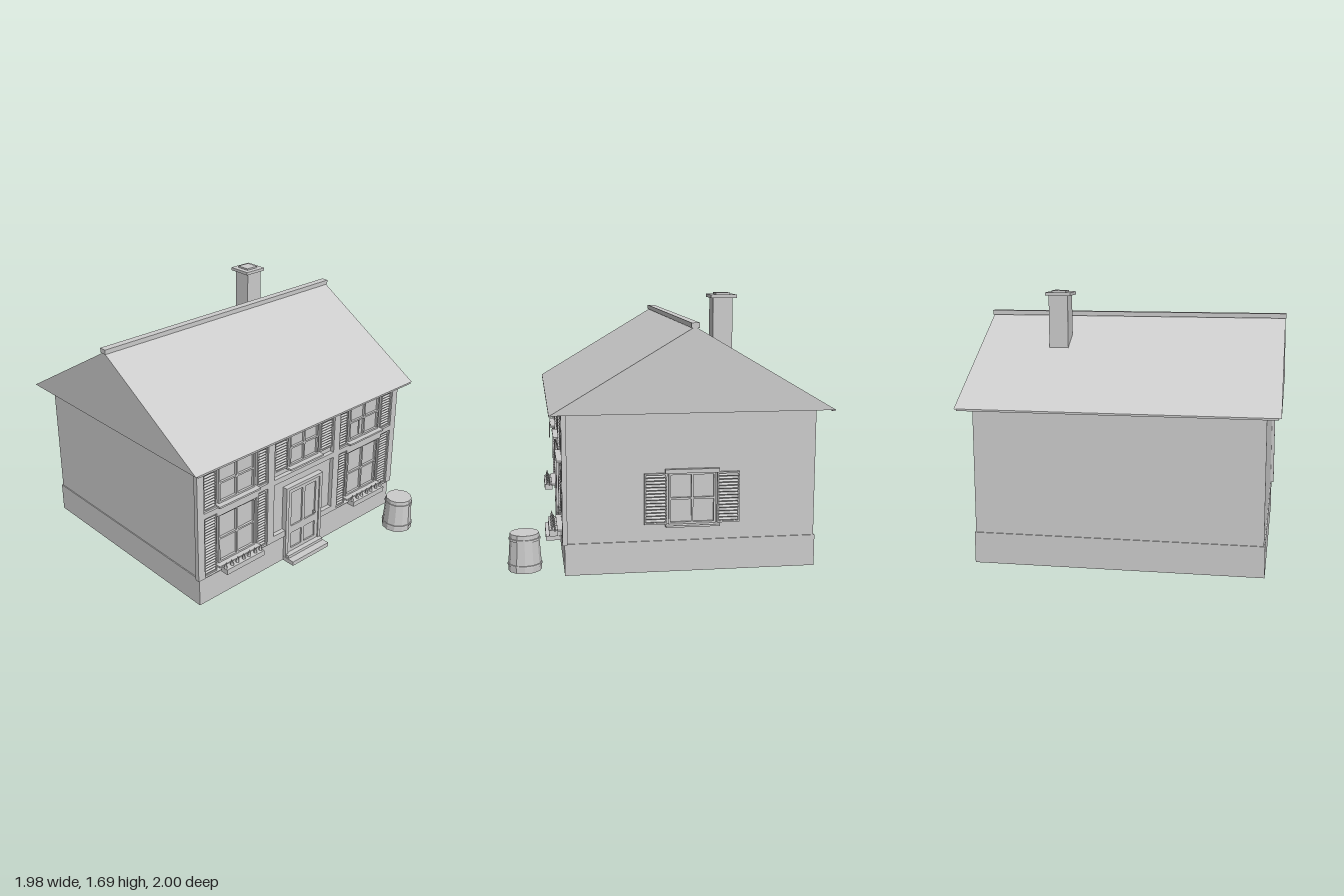
import * as THREE from 'three';

const plaster = new THREE.MeshStandardMaterial({ color: 0xcccccc, flatShading: true });
plaster.name = 'plain grey';

function add(parent, name, geometry) {
  const mesh = new THREE.Mesh(geometry, plaster);
  mesh.name = name;
  parent.add(mesh);
  return mesh;
}

// Box given by its limits on each axis
function block(parent, name, x0, x1, y0, y1, z0, z1) {
  const mesh = add(parent, name, new THREE.BoxGeometry(x1 - x0, y1 - y0, z1 - z0));
  mesh.position.set((x0 + x1) / 2, (y0 + y1) / 2, (z0 + z1) / 2);
  return mesh;
}

function rectangle(Type, x0, x1, y0, y1) {
  const p = new Type();
  p.moveTo(x0, y0);
  p.lineTo(x1, y0);
  p.lineTo(x1, y1);
  p.lineTo(x0, y1);
  p.closePath();
  return p;
}

// Rectangular plate with rectangular openings, standing on z0
function pierced(parent, name, outer, holes, z0, z1) {
  const shape = rectangle(THREE.Shape, ...outer);
  for (const h of holes) shape.holes.push(rectangle(THREE.Path, ...h));
  const mesh = add(parent, name, new THREE.ExtrudeGeometry(shape, { depth: z1 - z0, bevelEnabled: false }));
  mesh.position.z = z0;
  return mesh;
}

// Louvred shutter standing on the plane z = 0
function shutter(parent, x0, x1, y0, y1) {
  const g = new THREE.Group();
  g.name = 'shutter';
  parent.add(g);
  const e = 0.01;
  pierced(g, 'shutterFrame', [x0, x1, y0, y1], [[x0 + e, x1 - e, y0 + e, y1 - e]], 0, 0.02);
  const count = Math.round((y1 - y0 - 2 * e) / 0.02);
  const pitch = (y1 - y0 - 2 * e) / count;
  for (let i = 0; i < count; i++) {
    const y = y0 + e + (i + 0.5) * pitch;
    const slat = block(g, 'slat', x0 + e / 2, x1 - e / 2, y - 0.003, y + 0.003, 0.002, 0.022);
    slat.rotation.x = 0.5;
  }
}

// Four-pane window standing on the plane z = 0, with lintel and sill
function windowUnit(parent, half, y0, y1, sillY, lintelTop) {
  const g = new THREE.Group();
  g.name = 'window';
  parent.add(g);
  const midY = (y0 + y1) / 2, b = 0.006, e = 0.012;
  const panes = [];
  for (const [a, c] of [[-half + e, -b], [b, half - e]]) {
    panes.push([a, c, y0 + e, midY - b], [a, c, midY + b, y1 - e]);
  }
  pierced(g, 'sash', [-half, half, y0, y1], panes, 0, 0.02);
  block(g, 'glass', -half, half, y0, y1, 0, 0.004);
  block(g, 'lintel', -half - 0.022, half + 0.022, y1, lintelTop, 0, 0.03);
  block(g, 'sill', -half - 0.022, half + 0.022, sillY, sillY + 0.012, 0, 0.055);
  return g;
}

function flowerBox(parent) {
  const g = new THREE.Group();
  g.name = 'flowerBox';
  parent.add(g);
  block(g, 'planter', -0.16, 0.16, 0.205, 0.242, 0.05, 0.105);
  for (let i = 0; i < 7; i++) {
    const x = -0.15 + i * 0.05;
    const bud = add(g, 'plant', new THREE.ConeGeometry(0.014, 0.045, 5));
    bud.position.set(x, 0.264, 0.08);
    bud.rotation.z = i % 2 ? 0.15 : -0.15;
    const leaf = add(g, 'leaf', new THREE.ConeGeometry(0.009, 0.03, 4));
    leaf.position.set(x + 0.015, 0.253, 0.07);
    leaf.rotation.z = -0.6;
  }
}

export function createModel() {
  const house = new THREE.Group();
  house.name = 'house';

  // Walls and plinth
  block(house, 'plinth', -0.907, 0.907, 0, 0.197, -0.91, 0.647);
  block(house, 'walls', -0.9, 0.9, 0.19, 1.0, -0.903, 0.63);

  // Front facing with recessed bays
  pierced(house, 'frontFacing', [-0.923, 0.923, 0.195, 1.0], [
    [-0.87, -0.335, 0.2, 0.63], [-0.87, -0.335, 0.668, 0.992],
    [0.335, 0.87, 0.2, 0.63], [0.335, 0.87, 0.668, 0.992],
    [-0.278, 0.278, 0.24, 0.63], [-0.278, 0.278, 0.668, 0.992],
  ], 0.63, 0.66);

  // Roof, eaves and ridge
  const gable = new THREE.Shape();
  gable.moveTo(-0.73, 0.998);
  gable.lineTo(1.0, 0.998);
  gable.lineTo(0.13, 1.51);
  gable.closePath();
  const roof = add(house, 'roof', new THREE.ExtrudeGeometry(gable, { depth: 1.97, bevelEnabled: false }));
  roof.rotation.y = Math.PI / 2;
  roof.position.x = -0.985;
  block(house, 'frontEave', -0.97, 0.97, 0.988, 1.0, 0.715, 0.732);
  block(house, 'backEave', -0.97, 0.97, 0.988, 1.0, -1.0, -0.983);
  block(house, 'ridge', -0.99, 0.99, 1.503, 1.533, -0.157, -0.107);

  // Chimney
  const chimney = new THREE.Group();
  chimney.name = 'chimney';
  house.add(chimney);
  block(chimney, 'stack', 0.397, 0.522, 1.25, 1.655, -0.453, -0.327);
  block(chimney, 'cap', 0.375, 0.54, 1.655, 1.675, -0.475, -0.31);
  block(chimney, 'flue', 0.412, 0.505, 1.675, 1.686, -0.44, -0.347);

  // Front windows in the side bays, mirrored
  for (const side of [-1, 1]) {
    const bay = new THREE.Group();
    bay.name = side < 0 ? 'rightBay' : 'leftBay';
    bay.position.set(side * 0.593, 0, 0.63);
    house.add(bay);
    windowUnit(bay, 0.155, 0.25, 0.605, 0.237, 0.63);
    windowUnit(bay, 0.15, 0.685, 0.965, 0.672, 0.985);
    for (const [y0, y1] of [[0.203, 0.627], [0.672, 0.988]]) {
      const outer = [side * 0.172, side * 0.275].sort((a, b) => a - b);
      const inner = [-side * 0.172, -side * 0.256].sort((a, b) => a - b);
      shutter(bay, ...outer, y0, y1);
      shutter(bay, ...inner, y0, y1);
    }
    flowerBox(bay);
  }

  // Upper middle window
  const middle = new THREE.Group();
  middle.name = 'middleBay';
  middle.position.z = 0.63;
  house.add(middle);
  windowUnit(middle, 0.133, 0.711, 0.975, 0.699, 0.988);
  shutter(middle, -0.272, -0.153, 0.712, 0.985);
  shutter(middle, 0.153, 0.272, 0.712, 0.985);

  // Window on the left wall
  const sideWindow = new THREE.Group();
  sideWindow.name = 'sideWindow';
  sideWindow.position.set(0.895, 0, -0.132);
  sideWindow.rotation.y = Math.PI / 2;
  house.add(sideWindow);
  windowUnit(sideWindow, 0.145, 0.302, 0.62, 0.29, 0.645);
  shutter(sideWindow, -0.295, -0.155, 0.302, 0.62);
  shutter(sideWindow, 0.155, 0.295, 0.302, 0.62);

  // Door with frame, panels, knob and steps
  const door = new THREE.Group();
  door.name = 'door';
  house.add(door);
  pierced(door, 'doorFrame', [-0.17, 0.17, 0.03, 0.562], [[-0.145, 0.145, 0.05, 0.54]], 0.63, 0.668);
  block(door, 'doorLeaf', -0.147, 0.147, 0.04, 0.542, 0.63, 0.65);
  pierced(door, 'doorRails', [-0.145, 0.145, 0.05, 0.54], [
    [-0.115, -0.012, 0.075, 0.22], [0.012, 0.115, 0.075, 0.22],
    [-0.115, -0.012, 0.25, 0.51], [0.012, 0.115, 0.25, 0.51],
  ], 0.648, 0.66);
  block(door, 'handlePlate', 0.097, 0.107, 0.255, 0.285, 0.655, 0.664);
  const knob = add(door, 'knob', new THREE.SphereGeometry(0.009, 8, 6));
  knob.position.set(0.102, 0.275, 0.67);
  block(house, 'lowerStep', -0.172, 0.172, 0, 0.03, 0.63, 0.745);
  block(house, 'upperStep', -0.165, 0.165, 0.03, 0.05, 0.63, 0.695);

  // Thin bar hanging in front of the facade
  block(house, 'hangingBar', 0.452, 0.462, 0.77, 0.872, 0.711, 0.717);

  // Rain barrel with bands
  const barrel = new THREE.Group();
  barrel.name = 'barrel';
  barrel.position.set(0.74, 0, 0.887);
  house.add(barrel);
  const profile = [
    [0, 0], [0.104, 0], [0.103, 0.035], [0.108, 0.036], [0.107, 0.047], [0.102, 0.048],
    [0.092, 0.192], [0.098, 0.193], [0.097, 0.207], [0.092, 0.208], [0.09, 0.235], [0, 0.235],
  ].map(([r, y]) => new THREE.Vector2(r, y));
  add(barrel, 'staves', new THREE.LatheGeometry(profile, 12));

  return house;
}
